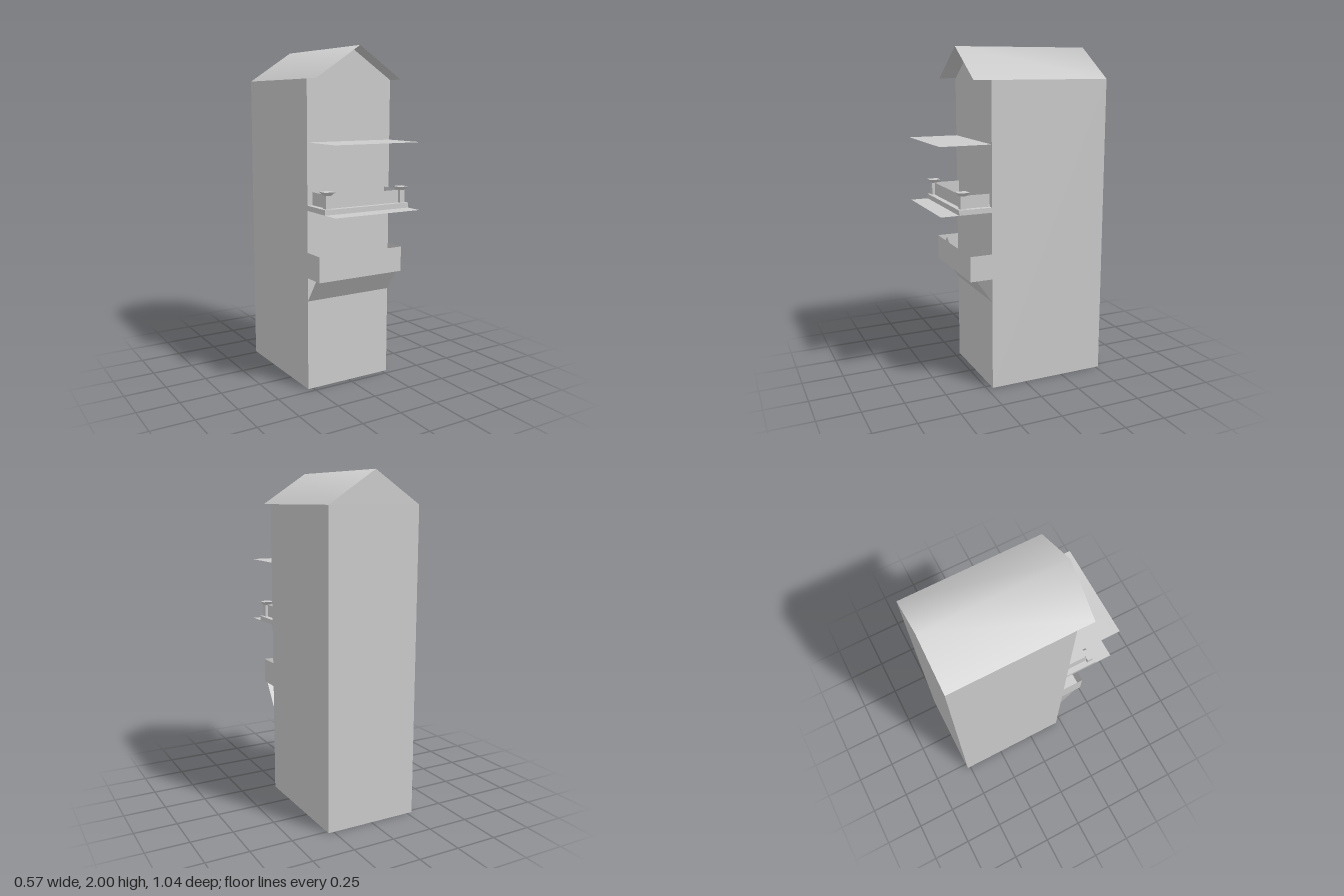
import * as THREE from 'three';

const W = 0.283, BACK = -0.52, FRONT = 0.215, EAVE = 1.815, RIDGE = 2;
const material = new THREE.MeshStandardMaterial({ color: 0xcccccc, side: THREE.DoubleSide });

export function createModel() {
  const model = new THREE.Group();

  function add(name, geometry, x = 0, y = 0, z = 0, parent = model) {
    const mesh = new THREE.Mesh(geometry, material);
    mesh.name = name;
    mesh.position.set(x, y, z);
    parent.add(mesh);
    return mesh;
  }

  // thin flat panel from its corners, counter-clockwise seen from outside
  function panel(name, corners, parent = model) {
    const geometry = new THREE.BufferGeometry();
    geometry.setAttribute('position', new THREE.Float32BufferAttribute(corners.flat(), 3));
    const index = [];
    for (let i = 1; i < corners.length - 1; i++) index.push(0, i, i + 1);
    geometry.setIndex(index);
    geometry.computeVertexNormals();
    return add(name, geometry, 0, 0, 0, parent);
  }

  // panel in a plane of constant x, facing the given side
  function sidePanel(name, side, x, z0, z1, y0, y1, parent) {
    const corners = [[side * x, y0, z1], [side * x, y0, z0], [side * x, y1, z0], [side * x, y1, z1]];
    panel(name, side > 0 ? corners : corners.reverse(), parent);
  }

  // horizontal panel facing up
  function shelf(name, y, z0, z1, parent) {
    panel(name, [[-W, y, z1], [W, y, z1], [W, y, z0], [-W, y, z0]], parent);
  }

  // tower shell, open underneath
  const gable = z => [[-W, 0, z], [W, 0, z], [W, EAVE, z], [0, RIDGE, z], [-W, EAVE, z]];
  panel('frontWall', gable(FRONT));
  panel('backWall', gable(BACK).reverse());
  for (const side of [1, -1]) sidePanel('sideWall', side, W, BACK, FRONT, 0, EAVE);

  // thin roof overhanging the front, smooth over the ridge
  const roof = new THREE.PlaneGeometry(2 * W, 0.84, 2, 1);
  roof.rotateX(-Math.PI / 2);
  const p = roof.attributes.position;
  for (let i = 0; i < p.count; i++) {
    p.setXYZ(i, p.getX(i), Math.abs(p.getX(i)) < 0.01 ? RIDGE : EAVE, p.getZ(i) - 0.1);
  }
  roof.computeVertexNormals();
  add('roof', roof);

  // flat canopies
  shelf('upperCanopy', 1.463, FRONT, 0.52);
  shelf('lowerCanopy', 1.075, FRONT, 0.52);

  // balcony: slab, thin parapets and capped posts
  const balcony = new THREE.Group();
  balcony.name = 'balcony';
  model.add(balcony);
  const postX = 0.25, postZ = 0.381;
  add('slab', new THREE.BoxGeometry(2 * W, 0.03, 0.198), 0, 1.09, 0.314, balcony);
  panel('frontParapet', [[-postX, 1.105, postZ], [postX, 1.105, postZ],
    [postX, 1.18, postZ], [-postX, 1.18, postZ]], balcony);
  const cap = new THREE.CylinderGeometry(0.065 * Math.SQRT1_2, 0.035 * Math.SQRT1_2, 0.02, 4)
    .rotateY(Math.PI / 4).toNonIndexed();
  cap.computeVertexNormals();
  for (const side of [1, -1]) {
    sidePanel('sideParapet', side, postX, FRONT, postZ, 1.105, 1.18, balcony);
    add('post', new THREE.BoxGeometry(0.034, 0.08, 0.034), side * postX, 1.143, postZ, balcony);
    add('postCap', cap, side * postX, 1.19, postZ, balcony);
  }

  // open-topped sign box with a small peak on its front edge
  const tray = new THREE.Group();
  tray.name = 'signBox';
  model.add(tray);
  const z = 0.35;
  panel('signFront', [[-W, 0.68, z], [W, 0.68, z], [W, 0.83, z], [-0.075, 0.83, z],
    [-0.108, 0.86, z], [-0.142, 0.83, z], [-W, 0.83, z]], tray);
  for (const side of [1, -1]) sidePanel('signSide', side, W, FRONT, z, 0.68, 0.83, tray);
  panel('signBottom', [[-W, 0.68, FRONT], [W, 0.68, FRONT], [W, 0.68, z], [-W, 0.68, z]], tray);

  // slanted panel under the sign box
  panel('slantedSoffit', [[-W, 0.54, FRONT], [W, 0.54, FRONT], [W, 0.68, 0.312], [-W, 0.68, 0.312]]);

  return model;
}
